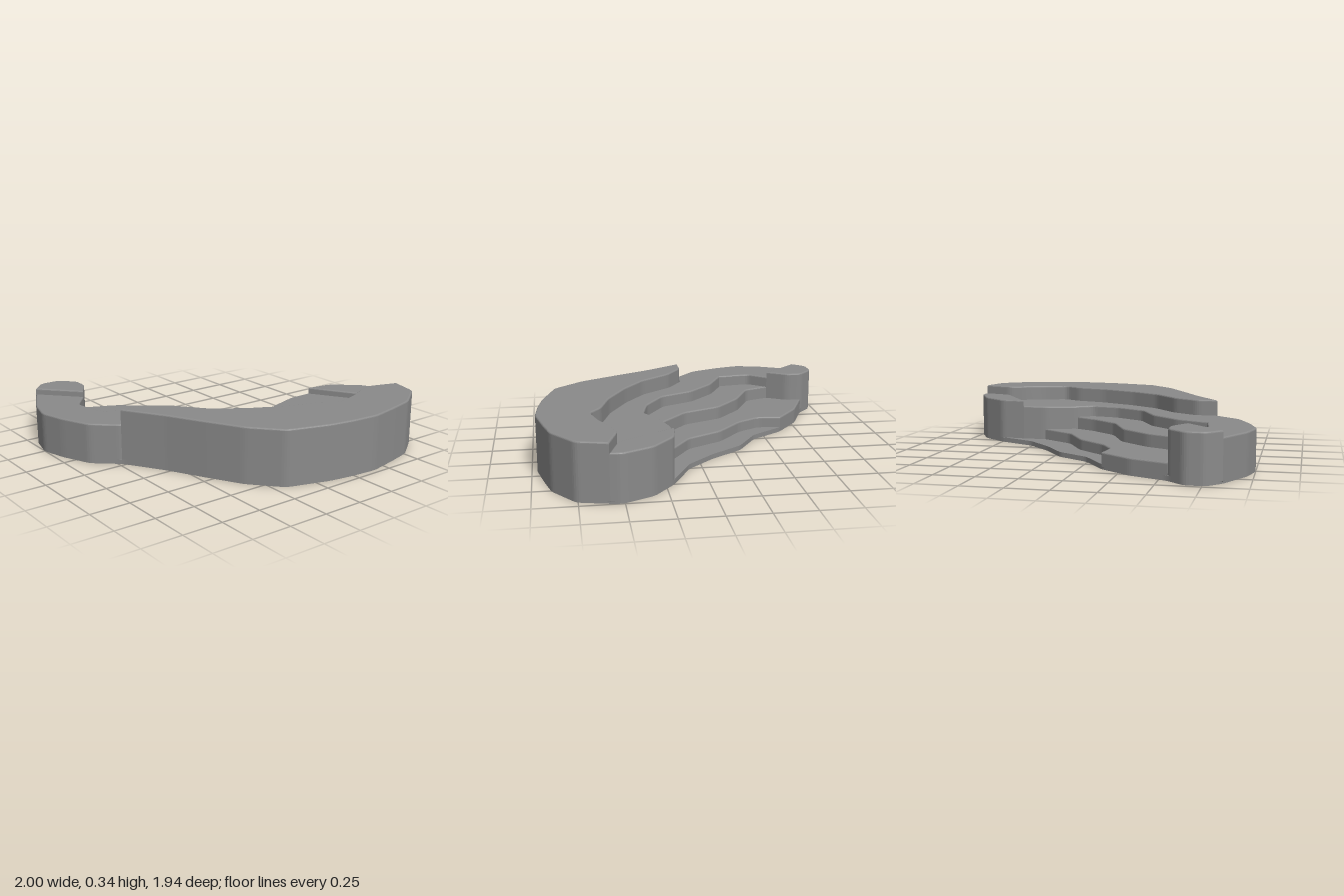
import * as THREE from 'three';

const material = new THREE.MeshStandardMaterial({ color: 0x8a8a8a });
const rev = (line) => [...line].reverse();

// Closed shape from a ground plan of [x, z] points; gentle bends are rounded, sharp corners kept
function planShape(plan) {
  const cut = 0.03;
  const points = plan.map(([x, z]) => new THREE.Vector2(x, -z));
  const path = [];
  points.forEach((p, i) => {
    const toPrev = points.at(i - 1).clone().sub(p).normalize();
    const toNext = points[(i + 1) % points.length].clone().sub(p).normalize();
    if (toPrev.dot(toNext) > -0.6) {
      path.push(p);
    } else {
      const start = p.clone().addScaledVector(toPrev, cut);
      const end = p.clone().addScaledVector(toNext, cut);
      path.push(...new THREE.QuadraticBezierCurve(start, p, end).getPoints(4));
    }
  });
  return new THREE.Shape(path);
}

// Extrude a ground plan from height y0 up to y1, with a rounded top edge
function slab(name, plan, y0, y1, bevel) {
  const geometry = new THREE.ExtrudeGeometry(planShape(plan), {
    depth: y1 - y0 - 2 * bevel,
    bevelEnabled: bevel > 0,
    bevelThickness: bevel,
    bevelSize: bevel,
    bevelOffset: -bevel,
    bevelSegments: 4,
  });
  geometry.rotateX(-Math.PI / 2);
  geometry.translate(0, y0 + bevel, 0);
  const mesh = new THREE.Mesh(geometry, material);
  mesh.name = name;
  return mesh;
}

export function createModel() {
  // Outer outline, in stretches between the places where the terraces meet it
  const backTip = [[-0.85, -0.89], [-0.77, -0.975], [-0.65, -0.975], [-0.55, -0.88]];
  const backEdge = [[-0.55, -0.88], [-0.32, -0.78], [-0.13, -0.63]];
  const lowEdge = [[0.01, -0.42], [0.21, -0.29], [0.35, -0.09], [0.51, 0.08]];
  const leftTip = [[0.75, 0.2], [0.91, 0.33], [1, 0.51], [0.99, 0.58]];
  const frontEdge = [
    [0.945, 0.76], [0.76, 0.89], [0.6, 0.93], [0.41, 0.97], [0.23, 0.955], [0.08, 0.93],
    [-0.18, 0.85], [-0.34, 0.67], [-0.46, 0.45], [-0.58, 0.22],
  ];
  const rightEdge = [[-0.88, -0.15], [-0.96, -0.34], [-1.003, -0.5], [-0.965, -0.66]];

  // Winding step lines, from the highest to the lowest
  const rimLine = [
    [-0.73, -0.02], [-0.6, -0.02], [-0.45, 0.08], [-0.3, 0.27], [-0.12, 0.4], [0.11, 0.52],
    [0.31, 0.58], [0.41, 0.65], [0.56, 0.61], [0.69, 0.55], [0.8, 0.52],
  ];
  const upperLine = [
    [-0.63, -0.65], [-0.73, -0.53], [-0.7, -0.32], [-0.5, -0.22], [-0.33, -0.06],
    [-0.23, 0.15], [-0.04, 0.27], [0.14, 0.31], [0.23, 0.245],
  ];
  const middleLine = [
    [-0.63, -0.65], [-0.57, -0.49], [-0.35, -0.38], [-0.17, -0.22], [-0.07, 0.02],
    [0.1, 0.17], [0.23, 0.245],
  ];
  const lowerLine = [[-0.15, -0.48], [-0.07, -0.34], [0.11, -0.18], [0.23, 0.04], [0.44, 0.18]];

  const outline = [
    ...backTip, ...backEdge.slice(1), ...lowEdge, ...leftTip, ...frontEdge, rimLine[0], ...rightEdge,
  ];
  const steps = [
    ['frontRim', 0.345, [...rimLine, leftTip[3], ...frontEdge]],
    ['upperTerrace', 0.25,
      [...rimLine, [0.59, 0.18], [0.44, 0.18], ...rev(upperLine), backTip[0], ...rev(rightEdge)]],
    ['middleTerrace', 0.18, [...upperLine, ...rev(middleLine).slice(1, -1)]],
    ['lowerTerrace', 0.1, [...middleLine, ...rev(lowerLine), ...rev(backEdge), [-0.55, -0.78]]],
    ['leftEndBlock', 0.287, [[0.59, 0.18], ...leftTip, [0.8, 0.52]]],
    ['backEndBlock', 0.287, [...backTip, [-0.55, -0.78], [-0.63, -0.65]]],
  ];

  const model = new THREE.Group();
  model.name = 'terracedSlab';
  // The thin base shows as the lowest terrace
  model.add(slab('base', outline, 0, 0.03, 0));
  for (const [name, height, plan] of steps) model.add(slab(name, plan, 0.005, height, 0.01));
  return model;
}
